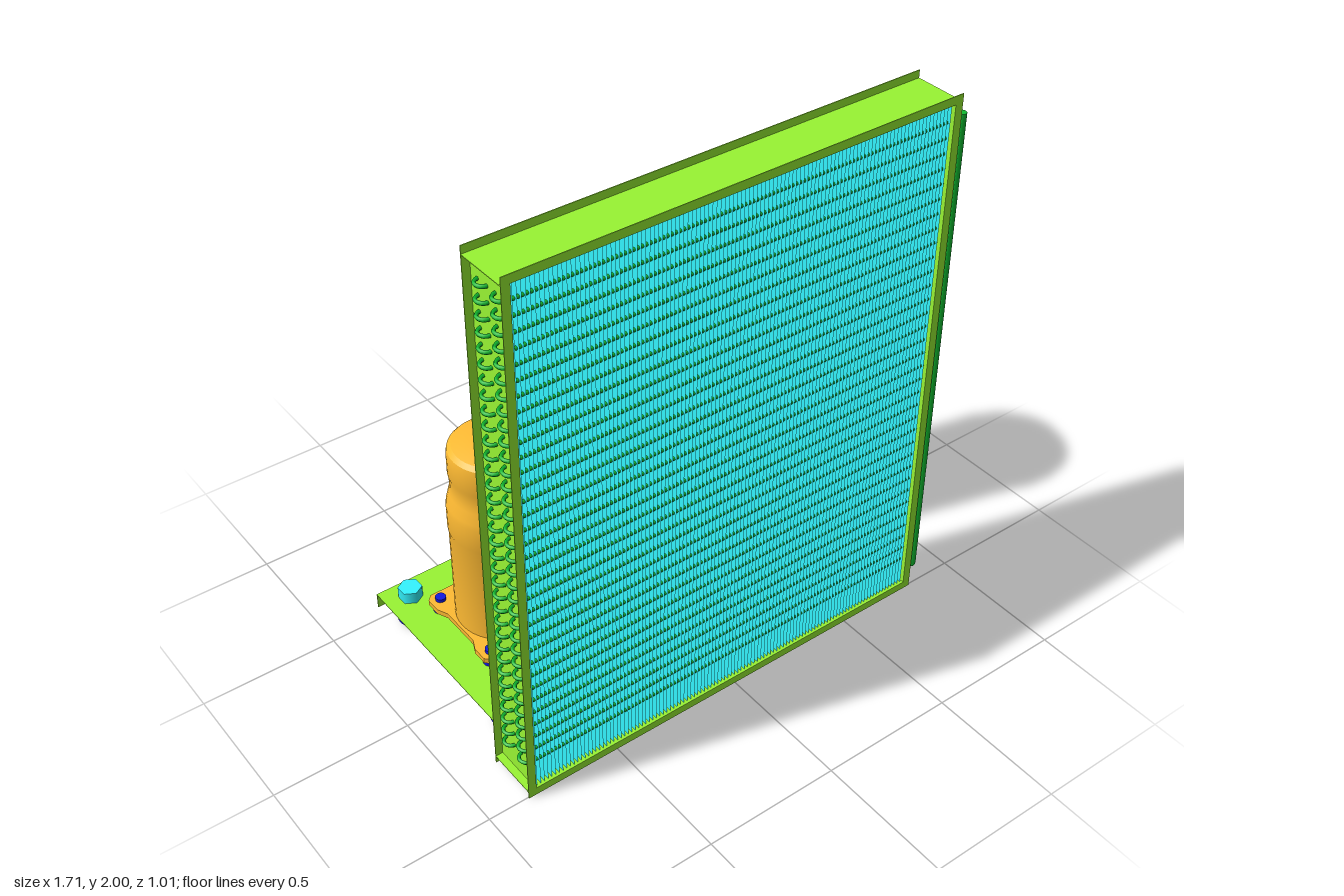
import * as THREE from 'three';
import { mergeGeometries, toCreasedNormals } from 'three/addons/utils/BufferGeometryUtils.js';

const mat = (color, side = THREE.FrontSide) => new THREE.MeshStandardMaterial({ color, side });
const LIME = mat(0x99f533), GREEN = mat(0x10bb30), BLUE = mat(0x1018e0);
const CYAN = mat(0x33f5ff), ORANGE = mat(0xffbb33), RED = mat(0xff2222, THREE.DoubleSide);
const FIN = mat(0x33f5ff, THREE.DoubleSide);
const V = (x, y, z) => new THREE.Vector3(x, y, z);

function add(parent, name, geo, material, x = 0, y = 0, z = 0) {
  const mesh = new THREE.Mesh(geo, material);
  mesh.name = name;
  mesh.position.set(x, y, z);
  parent.add(mesh);
  return mesh;
}

// box given by its min and max corners
function box(parent, name, material, x0, x1, y0, y1, z0, z1) {
  return add(parent, name, new THREE.BoxGeometry(x1 - x0, y1 - y0, z1 - z0), material,
    (x0 + x1) / 2, (y0 + y1) / 2, (z0 + z1) / 2);
}

// round bar between two points, optionally tapered
function rod(parent, name, material, a, b, r, sides = 16, rStart = r) {
  const mesh = add(parent, name, new THREE.CylinderGeometry(r, rStart, a.distanceTo(b), sides), material);
  mesh.position.copy(a).add(b).multiplyScalar(0.5);
  mesh.quaternion.setFromUnitVectors(V(0, 1, 0), b.clone().sub(a).normalize());
  return mesh;
}

function lathe(points, sides, crease) {
  const geo = new THREE.LatheGeometry(points.map(p => new THREE.Vector2(p[0], p[1])), sides);
  return toCreasedNormals(geo, crease);
}

// upright frame of four thin channels that open outward
function makeFrame() {
  const g = new THREE.Group();
  g.name = 'coilFrame';
  const t = 0.003, x0 = -0.852, x1 = 0.813, z0 = 0.311, z1 = 0.505, f = 0.03;
  for (const [name, web, lo, hi] of [['bottom', f - t, 0, f], ['top', 2 - f, 2 - f, 2]]) {
    box(g, name + 'Web', LIME, x0, x1, web, web + t, z0, z1);
    box(g, name + 'BackFlange', LIME, x0, x1, lo, hi, z0, z0 + t);
    box(g, name + 'FrontFlange', LIME, x0, x1, lo, hi, z1 - t, z1);
  }
  for (const [name, web, lo, hi] of [['right', x0 + f - t, x0, x0 + f], ['left', x1 - f, x1 - f, x1]]) {
    box(g, name + 'Web', LIME, web, web + t, f, 2 - f, z0, z1);
    box(g, name + 'BackFlange', LIME, lo, hi, f, 2 - f, z0, z0 + t);
    box(g, name + 'FrontFlange', LIME, lo, hi, f, 2 - f, z1 - t, z1);
  }
  return g;
}

// four-row serpentine tubes, full-depth fins and the two header pipes
function makeCoil() {
  const g = new THREE.Group();
  g.name = 'coil';
  const rows = [0.347, 0.394, 0.434, 0.484], hx = 0.836, hr = 0.016;
  const xa = -0.824, xb = 0.786, r = 0.0065;
  const parts = rows.map((z, i) => {
    const end = i === 0 || i === 3 ? hx : xb;
    return new THREE.CylinderGeometry(r, r, end - xa, 6, 1, true)
      .rotateZ(Math.PI / 2).translate((xa + end) / 2, 0, z);
  });
  for (let i = 0; i < 3; i++) {
    const dir = i === 1 ? 1 : -1;
    parts.push(new THREE.TorusGeometry((rows[i + 1] - rows[i]) / 2, r, 6, 8, Math.PI)
      .rotateX(Math.PI / 2).rotateY(dir * Math.PI / 2)
      .translate(dir > 0 ? xb : xa, 0, (rows[i] + rows[i + 1]) / 2));
  }
  const serpentine = mergeGeometries(parts);
  for (let i = 0; i < 34; i++) add(g, 'coilTube', serpentine, GREEN, 0, 0.136 + i * 0.0536, 0);

  const fins = [];
  for (let i = 0; i < 110; i++) {
    fins.push(new THREE.PlaneGeometry(0.18, 1.938).rotateY(Math.PI / 2)
      .translate(-0.814 + i * 1.588 / 109, 1, 0.408));
  }
  add(g, 'fins', mergeGeometries(fins), FIN);

  for (const [name, z, yEnd, yTurn] of [['frontHeader', rows[3], 1.92, 0.085], ['backHeader', rows[0], 0.125, 1.925]]) {
    rod(g, name, GREEN, V(hx, yEnd, z), V(hx, yTurn, z), hr);
    add(g, name + 'Elbow', new THREE.SphereGeometry(hr, 16, 10), GREEN, hx, yTurn, z);
    rod(g, name + 'Outlet', GREEN, V(hx, yTurn, z), V(hx, yTurn, 0.247), hr);
  }
  return g;
}

// folded base plate on rubber feet with hex bolts
function makeBase() {
  const g = new THREE.Group();
  g.name = 'base';
  const x0 = -0.813, x1 = 0.275, z0 = -0.503, z1 = 0.25, y = 0.115, t = 0.003;
  box(g, 'basePlate', LIME, x0, x1, y - t, y, z0, z1);
  box(g, 'backLip', LIME, x0, x1, 0.055, y, z0, z0 + t);
  box(g, 'frontLip', LIME, x0, x1, 0.055, y, z1 - t, z1);
  const foot = lathe([[0, 0.008], [0.042, 0.008], [0.052, 0.018], [0.052, 0.11], [0, 0.11]], 24, 0.6);
  for (const x of [-0.721, -0.25, 0.193]) for (const z of [-0.423, 0.175]) {
    add(g, 'foot', foot, BLUE, x, 0, z);
    add(g, 'hexBolt', new THREE.CylinderGeometry(0.043, 0.043, 0.045, 6), CYAN, x, 0.1375, z);
  }
  return g;
}

function makeCompressor(x) {
  const g = new THREE.Group();
  g.name = 'compressor';
  g.position.set(x, 0, -0.144);

  // mounting plate with slightly waisted sides
  const h = 0.196, c = 0.02, w = 0.178, q = 0.1, shape = new THREE.Shape();
  const side = [[h - c, -h], [h, -h + c], [h, -q - 0.02], [w, -q + 0.02], [w, q - 0.02], [h, q + 0.02], [h, h - c], [h - c, h]];
  shape.setFromPoints([...side, ...side.map(p => [-p[0], -p[1]])].map(p => new THREE.Vector2(...p)));
  const plate = new THREE.ExtrudeGeometry(shape, { depth: 0.02, bevelEnabled: false });
  add(g, 'mountingPlate', plate.rotateX(-Math.PI / 2), ORANGE, 0, 0.142, 0);
  for (const sx of [-1, 1]) for (const sz of [-1, 1]) {
    rod(g, 'mountGrommet', BLUE, V(sx * 0.158, 0.115, sz * 0.158), V(sx * 0.158, 0.142, sz * 0.158), 0.028);
    rod(g, 'mountBolt', BLUE, V(sx * 0.158, 0.14, sz * 0.158), V(sx * 0.158, 0.175, sz * 0.158), 0.019);
  }

  // shell with a neck under the domed cap
  add(g, 'shell', lathe([[0, 0.145], [0.168, 0.145], [0.168, 0.54], [0.171, 0.55], [0.171, 0.64], [0.168, 0.66],
    [0.158, 0.7], [0.154, 0.72], [0.154, 0.765], [0.158, 0.78], [0.158, 0.855], [0.154, 0.875],
    [0.14, 0.89], [0.1, 0.9], [0.05, 0.906], [0, 0.908]], 40, 0.5), ORANGE);
  rod(g, 'capBoss', ORANGE, V(0, 0.885, 0), V(0.145, 0.856, 0), 0.055, 32, 0.02);
  rod(g, 'topPipe', GREEN, V(0.13, 0.88, 0), V(0.225, 0.88, 0), 0.013);

  // angled side ports
  for (const [name, angle, y] of [['suctionPort', 30, 0.547], ['dischargePort', 120, 0.3]]) {
    const a = angle * Math.PI / 180, d = V(Math.cos(a), 0, Math.sin(a));
    rod(g, name, GREEN, d.clone().multiplyScalar(0.15).setY(y), d.clone().multiplyScalar(0.243).setY(y), 0.025);
  }

  // terminal box with clipped corners, turned toward the back left
  const terminal = new THREE.Group();
  terminal.name = 'terminalBox';
  terminal.rotation.y = Math.PI / 6;
  const a = 0.066, b = 0.078, k = 0.015, cover = new THREE.Shape();
  cover.setFromPoints([[a - k, -b], [a, -b + k], [a, b - k], [a - k, b], [-a + k, b], [-a, b - k], [-a, -b + k], [-a + k, -b]]
    .map(p => new THREE.Vector2(...p)));
  const lid = new THREE.ExtrudeGeometry(cover, { depth: 0.035, bevelEnabled: false }).rotateY(Math.PI / 2);
  add(terminal, 'terminalCover', lid, BLUE, 0.195, 0.435, 0);
  box(terminal, 'terminalMount', ORANGE, 0.13, 0.196, 0.365, 0.505, -0.06, 0.06);
  g.add(terminal);
  return g;
}

function makeTank() {
  const g = new THREE.Group();
  g.name = 'tank';
  g.position.set(0.54, 0, -0.145);
  const R = 0.232, ring = 0.238;
  add(g, 'tankShell', lathe([[0, 0.05], [0.17, 0.05], [0.2, 0.06], [0.221, 0.085], [R, 0.12], [R, 0.155],
    [ring, 0.162], [ring, 0.178], [R, 0.185], [R, 1.335], [ring, 1.342], [ring, 1.358], [R, 1.365],
    [R, 1.4], [0.222, 1.43], [0.197, 1.457], [0.15, 1.477], [0.08, 1.49], [0, 1.494]], 20, 0.7), RED);
  // open skirt with its foot flange
  add(g, 'tankSkirt', lathe([[0.16, 0.06], [0.16, 0.009], [0.23, 0.009], [0.23, 0.014], [0.166, 0.014], [0.166, 0.06]], 20, 0.5), RED);
  rod(g, 'topPort', RED, V(0, 1.48, 0), V(0, 1.535, 0), 0.026);
  rod(g, 'reliefPin', RED, V(0, 1.45, -0.128), V(0, 1.502, -0.146), 0.009, 10);
  for (const y of [0.53, 0.26]) rod(g, 'sidePort', GREEN, V(0.2, y, 0), V(0.264, y, 0), 0.027);
  rod(g, 'backPort', GREEN, V(0, 0.275, -0.2), V(0, 0.275, -0.287), 0.027);
  return g;
}

export function createModel() {
  const model = new THREE.Group();
  model.name = 'condensingUnit';
  model.add(makeFrame(), makeCoil(), makeBase(), makeCompressor(-0.511), makeCompressor(0.002), makeTank());
  return model;
}
